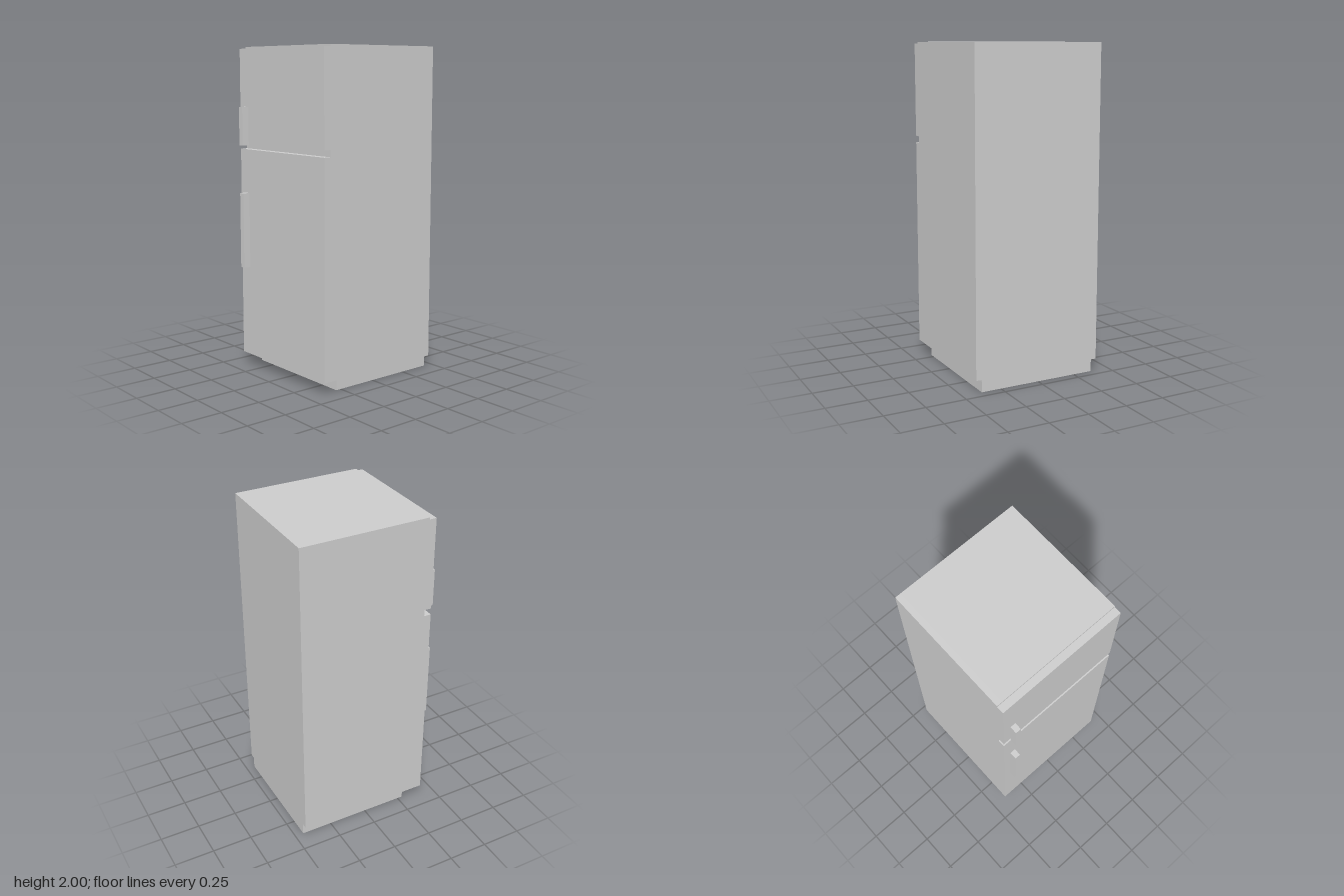
import * as THREE from 'three';

const material = new THREE.MeshStandardMaterial({ color: 0xcccccc, flatShading: true });

// Box given by its minimum and maximum corners
function box(name, [x0, y0, z0], [x1, y1, z1]) {
  const mesh = new THREE.Mesh(new THREE.BoxGeometry(x1 - x0, y1 - y0, z1 - z0), material);
  mesh.name = name;
  mesh.position.set((x0 + x1) / 2, (y0 + y1) / 2, (z0 + z1) / 2);
  return mesh;
}

export function createModel() {
  const group = new THREE.Group();
  group.name = 'refrigerator';

  const W = 0.41, wall = 0.035, inner = W - wall;
  const back = -0.445, face = 0.355, doorFront = 0.4, handleFront = 0.445;
  const floor = 0.075, top = 2;

  // Recessed plinth, flush with the back
  group.add(box('plinth', [-inner, 0, back], [inner, floor, 0.283]));

  // Cabinet shell with a divider between the two compartments
  const cabinet = new THREE.Group();
  cabinet.name = 'cabinet';
  cabinet.add(
    box('rightWall', [-W, floor, back], [-inner, top, face]),
    box('leftWall', [inner, floor, back], [W, top, face]),
    box('backWall', [-inner, floor, back], [inner, top, back + wall]),
    box('topWall', [-inner, top - wall, back + wall], [inner, top, face]),
    box('bottomWall', [-inner, floor, back + wall], [inner, floor + wall, face]),
    box('divider', [-inner, 1.36, back + wall], [inner, 1.43, face]),
  );
  group.add(cabinet);

  // Doors, each with a bar handle on the model's right
  const doors = [
    { name: 'fridge', y: [floor, 1.377], handle: [0.64, 1.107] },
    { name: 'freezer', y: [1.417, 1.988], handle: [1.402, 1.637] },
  ];
  for (const { name, y, handle } of doors) {
    group.add(
      box(name + 'Door', [-W, y[0], face], [W, y[1], doorFront]),
      box(name + 'Handle', [-0.36, handle[0], doorFront], [-0.325, handle[1], handleFront]),
    );
  }

  return group;
}
